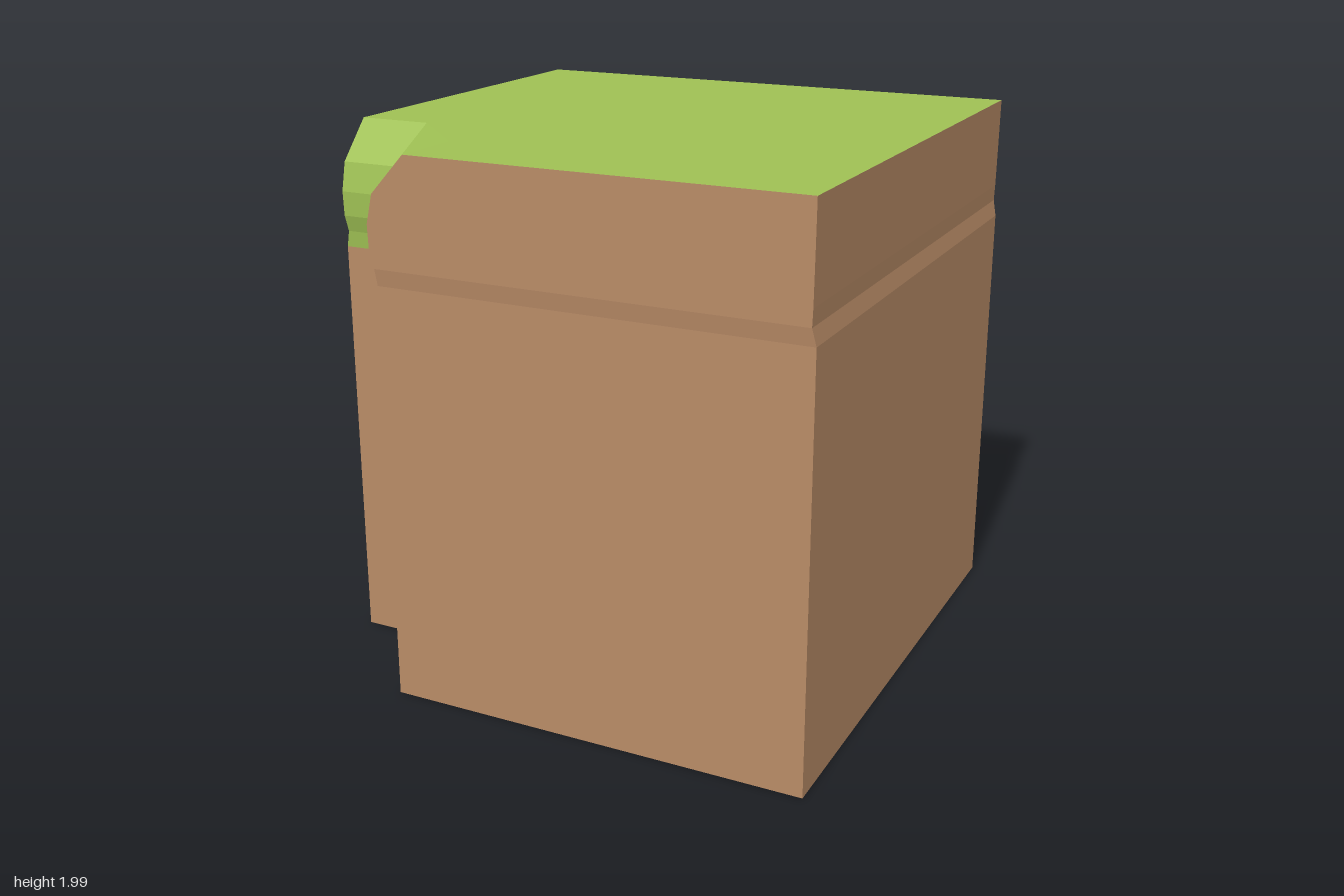
import * as THREE from 'three';

const HEIGHT = 1.985;

// Levels of the block: y, half width, half depth, notch inset, notch bevel corner
const LEVELS = [
  [0, 0.998, 0.982, 0.57, 0.78],
  [1.53, 0.998, 0.982, 0.57, 0.78],
  [1.59, 0.985, 0.99, 0.575, 0.782],
  [1.65, 0.987, 0.99, 0.592, 0.79],
  [1.74, 0.988, 0.99, 0.595, 0.792],
  [1.845, 0.989, 0.99, 0.57, 0.78],
  [HEIGHT, 0.99, 0.99, 0.44, 0.715],
];

// Outline of one level, counterclockwise from above, as [x, z]
function outline([, w, d, n, e]) {
  return [[w, d], [w, -d], [-w, -d], [-w, n], [-e, n], [-n, e], [-n, d]];
}

// Strips between neighbouring levels, for the chosen outline edges
function walls(levels, edges) {
  const pos = [];
  for (let i = 0; i + 1 < levels.length; i++) {
    const lo = outline(levels[i]).map(([x, z]) => [x, levels[i][0], z]);
    const hi = outline(levels[i + 1]).map(([x, z]) => [x, levels[i + 1][0], z]);
    for (const a of edges) {
      const b = (a + 1) % lo.length;
      pos.push(...lo[a], ...lo[b], ...hi[b], ...lo[a], ...hi[b], ...hi[a]);
    }
  }
  const g = new THREE.BufferGeometry();
  g.setAttribute('position', new THREE.Float32BufferAttribute(pos, 3));
  g.computeVertexNormals();
  return g;
}

// Flat cap over a level, facing up (1) or down (-1)
function cap(level, dir) {
  const pts = outline(level).map(([x, z]) => new THREE.Vector2(x, -dir * z));
  const g = new THREE.ShapeGeometry(new THREE.Shape(pts));
  g.rotateX(-dir * Math.PI / 2);
  g.translate(0, level[0], 0);
  return g;
}

export function createModel() {
  const group = new THREE.Group();
  const earth = new THREE.MeshStandardMaterial({ color: 0xb88b66, flatShading: true });
  earth.name = 'earth';
  const grass = new THREE.MeshStandardMaterial({ color: 0x9fc154, flatShading: true });
  grass.name = 'grass';

  const add = (name, geometry, material) => {
    const mesh = new THREE.Mesh(geometry, material);
    mesh.name = name;
    group.add(mesh);
    return mesh;
  };

  // Outer sides and base
  add('outerWalls', walls(LEVELS, [6, 0, 1, 2]), earth);
  add('base', cap(LEVELS[0], -1), earth);

  // Inset corner: earth wall below, rounded grass lip above
  add('cornerWall', walls(LEVELS.slice(0, 2), [3, 4, 5]), earth);
  add('grassLip', walls(LEVELS.slice(1), [3, 4, 5]), grass);
  add('grassTop', cap(LEVELS[LEVELS.length - 1], 1), grass);

  // Raised panel on the back, with a sloping top edge
  const profile = new THREE.Shape([
    [-0.998, 0], [-0.97, 0], [-0.97, 1.6], [-0.988, 1.6], [-0.998, 1.53],
  ].map(([z, y]) => new THREE.Vector2(z, y)));
  const panel = new THREE.ExtrudeGeometry(profile, { depth: 0.555, bevelEnabled: false });
  panel.rotateY(-Math.PI / 2);
  panel.translate(-0.44, 0, 0);
  add('backPanel', panel, earth);

  // Low bump on the inset wall
  const bump = new THREE.ConeGeometry(0.19, 0.027, 4);
  bump.rotateZ(Math.PI / 2);
  bump.scale(1, 1, 0.5);
  bump.translate(-0.5835, 0.19, 0.875);
  add('wallBump', bump, earth);

  return group;
}
